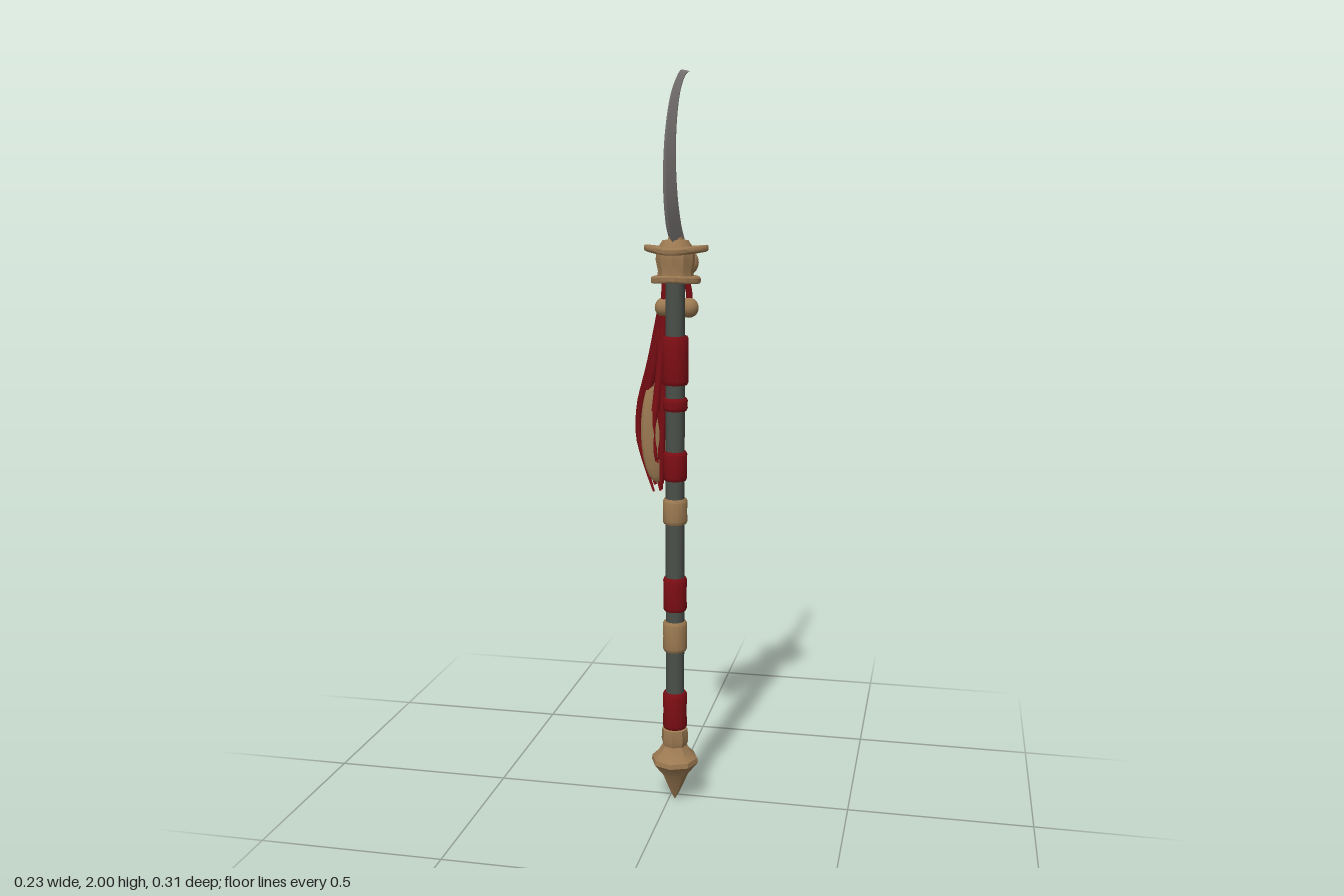
import * as THREE from 'three';
import { toCreasedNormals } from 'three/addons/utils/BufferGeometryUtils.js';

const mat = (name, color) => Object.assign(new THREE.MeshStandardMaterial({ color }), { name });
const V = (x, y, z) => new THREE.Vector3(x, y, z);
const PX = 0.017, PZ = 0.03; // axis of the pole

export function createModel() {
  const steel = mat('steel', 0x8b8585), red = mat('red cloth', 0x7c0e14);
  const bone = mat('bone', 0x9c7a52), wood = mat('dark pole', 0x4a4f49);
  const model = new THREE.Group();
  model.name = 'polearm';

  const add = (name, geo, material, x = 0, y = 0, z = 0) => {
    const m = new THREE.Mesh(geo, material);
    m.name = name;
    m.position.set(x, y, z);
    model.add(m);
    return m;
  };
  const lathe = (name, pts, sides, material) => add(name,
    toCreasedNormals(new THREE.LatheGeometry(pts.map(p => new THREE.Vector2(...p)), sides), 0.6),
    material, PX, 0, PZ);

  // Pole
  lathe('pole', [[0, 0.15], [0.026, 0.15], [0.026, 1.5], [0, 1.5]], 16, wood);

  // Cloth wraps and bone rings around the pole
  const band = (name, y0, y1, r, material) => lathe(name,
    [[0.024, y0], [r - 0.004, y0], [r, y0 + 0.008], [r - 0.001, (y0 + y1) / 2], [r, y1 - 0.008], [r - 0.004, y1], [0.024, y1]],
    16, material);
  for (const [y0, y1, r] of [[1.18, 1.31, 0.036], [1.11, 1.145, 0.034], [0.92, 1.0, 0.033], [0.555, 0.65, 0.033], [0.215, 0.32, 0.034]])
    band('clothWrap', y0, y1, r, red);
  for (const [y0, y1] of [[0.8, 0.87], [0.44, 0.525]]) band('boneRing', y0, y1, 0.034, bone);

  // Pointed pommel
  lathe('pommel', [[0, 0], [0.014, 0.025], [0.038, 0.08], [0.066, 0.115], [0.064, 0.128], [0.046, 0.145],
    [0.034, 0.165], [0.038, 0.18], [0.036, 0.212], [0.024, 0.214]], 8, bone);

  // Crescent blade that runs on into a rear spur, as [z, y] edge lines
  const curve = pts => new THREE.CatmullRomCurve3(pts.map(([z, y]) => V(0, y, z)));
  const outer = curve([[-0.12, 2.0], [-0.02, 1.99], [0.075, 1.93], [0.138, 1.835], [0.157, 1.745], [0.14, 1.65],
    [0.085, 1.57], [0.03, 1.535], [-0.03, 1.522], [-0.085, 1.528], [-0.144, 1.54]]);
  const inner = curve([[-0.12, 1.996], [-0.06, 1.975], [0.01, 1.925], [0.053, 1.85], [0.068, 1.765], [0.058, 1.685],
    [0.025, 1.615], [-0.01, 1.58], [-0.045, 1.56], [-0.09, 1.549], [-0.144, 1.544]]);
  const N = 44, pos = [], idx = [];
  for (let i = 0; i <= N; i++) {
    const t = i / N, o = outer.getPoint(t), n = inner.getPoint(t);
    const w = 0.007 + 0.013 * Math.min(1, t * 1.7) - 0.011 * Math.max(0, (t - 0.7) / 0.3);
    for (const [x, k] of [[0, 0], [w, 0.55], [w * 0.8, 0.8], [w * 0.4, 1], [-w * 0.4, 1], [-w * 0.8, 0.8], [-w, 0.55]]) {
      const p = o.clone().lerp(n, k);
      pos.push(x, p.y, p.z);
    }
    if (i < N) for (let j = 0; j < 7; j++) {
      const a = i * 7 + j, b = i * 7 + (j + 1) % 7;
      idx.push(a, a + 7, b, b, a + 7, b + 7);
    }
  }
  const bladeGeo = new THREE.BufferGeometry();
  bladeGeo.setAttribute('position', new THREE.Float32BufferAttribute(pos, 3));
  bladeGeo.setIndex(idx);
  add('blade', toCreasedNormals(bladeGeo, 0.35), steel, PX);

  // Guard: waisted socket, horned plate and ragged skirt
  lathe('guardSocket', [[0.026, 1.45], [0.05, 1.455], [0.046, 1.48], [0.052, 1.51], [0.05, 1.535], [0.034, 1.56], [0, 1.565]], 10, bone);
  const plate = (name, pts, y, depth, curl) => {
    const outline = new THREE.Shape();
    outline.setFromPoints(new THREE.CatmullRomCurve3(pts.map(([x, z]) => V(x, -z, 0)), true).getPoints(36).slice(0, -1)
      .map(p => new THREE.Vector2(p.x, p.y)));
    const g = new THREE.ExtrudeGeometry(outline, { depth, bevelEnabled: true, bevelSize: 0.006, bevelThickness: 0.005, bevelOffset: -0.006, bevelSegments: 2 });
    g.rotateX(-Math.PI / 2);
    const p = g.attributes.position;
    for (let i = 0; i < p.count; i++) p.setY(i, p.getY(i) + curl * p.getX(i) ** 2);
    add(name, toCreasedNormals(g, 0.8), bone, PX, y, PZ);
  };
  plate('guardPlate', [[0.088, 0], [0.05, 0.04], [0.02, 0.062], [-0.02, 0.062], [-0.05, 0.035], [-0.085, -0.005],
    [-0.055, -0.04], [-0.035, -0.075], [0.01, -0.07], [0.055, -0.088], [0.062, -0.045]], 1.528, 0.008, 1.2);
  plate('guardSkirt', [[0.066, 0], [0.045, 0.035], [0, 0.05], [-0.045, 0.035], [-0.066, 0], [-0.05, -0.045], [0, -0.058], [0.05, -0.045]],
    1.456, 0.009, -1);
  const sleeve = add('bladeSleeve', new THREE.ConeGeometry(0.036, 0.085, 10), bone, PX, 1.585, 0.025);
  sleeve.scale.x = 0.75;
  for (const s of [-1, 1]) {
    const knob = add('guardKnob', new THREE.SphereGeometry(0.024, 10, 8), bone, PX + s * 0.028, 1.5, -0.025);
    knob.scale.set(1, 1.3, 1);
  }

  // Tapering cord swept along points, r = [start, middle, end] radius
  const cord = (name, pts, r) => {
    const path = new THREE.CatmullRomCurve3(pts), S = 18, R = 6;
    const g = new THREE.TubeGeometry(path, S, 1, R);
    const p = g.attributes.position, v = new THREE.Vector3();
    for (let i = 0; i <= S; i++) {
      const t = i / S, c = path.getPointAt(t);
      const w = t < 0.5 ? r[0] + (r[1] - r[0]) * t * 2 : r[1] + (r[2] - r[1]) * (t * 2 - 1);
      for (let j = 0; j <= R; j++) {
        const k = i * (R + 1) + j;
        v.fromBufferAttribute(p, k).sub(c).multiplyScalar(w).add(c);
        p.setXYZ(k, v.x, v.y, v.z);
      }
    }
    add(name, g, red);
  };

  // Beads on cords below the guard
  for (const x of [-0.024, 0.042]) {
    cord('beadCord', [V(x * 0.7, 1.47, -0.025), V(x, 1.42, -0.03), V(x, 1.36, -0.028)], [0.01, 0.009, 0.009]);
    add('bead', new THREE.SphereGeometry(0.027, 14, 10), bone, x, 1.38, -0.026);
  }

  // Tassel fanning out behind the pole: out = distance away, s = place across the fan
  const at = (out, s, y) => V(-0.015 - 0.5 * out + 0.86 * s, y, -0.025 - 0.86 * out - 0.5 * s);
  const layer = (count, bulge, spread, r, low) => {
    for (let i = 0; i < count; i++) {
      const s = (i / (count - 1)) * 2 - 1, arc = bulge * (1 - 0.2 * s * s) - (i % 2) * 0.007;
      cord('tasselStrand', [at(0.01, s * 0.014, 1.37), at(bulge * 0.38, s * spread * 0.6, 1.23), at(arc * 0.9, s * spread * 0.95, 1.1),
        at(arc, s * spread, 1.02), at(arc * 0.85, s * spread * 0.8, 0.95), at(0.055, s * spread * 0.45, low + (i % 3) * 0.02)], [0.013, r, 0.003]);
    }
  };
  layer(8, 0.133, 0.05, 0.013, 0.865);
  layer(6, 0.1, 0.042, 0.012, 0.885);
  layer(5, 0.05, 0.026, 0.009, 1.0);
  lathe('tasselKnot', [[0, 1.32], [0.018, 1.325], [0.022, 1.345], [0.016, 1.37], [0, 1.375]], 10, red).position.set(-0.02, 0, -0.035);

  // Bone-coloured leaf lining the tassel on the pole side
  const leaf = add('tasselLeaf', new THREE.SphereGeometry(1, 14, 12), bone);
  leaf.position.copy(at(0.055, -0.012, 1.04));
  leaf.scale.set(0.048, 0.15, 0.022);
  leaf.rotation.y = Math.PI / 6;

  // Loose straps beside the pole
  cord('looseStrap', [V(-0.022, 1.45, -0.02), V(-0.025, 1.33, -0.02), V(-0.035, 1.2, -0.012), V(-0.045, 1.1, -0.004)], [0.009, 0.012, 0.011]);
  cord('looseStrap', [V(-0.02, 1.33, -0.02), V(-0.025, 1.15, -0.015), V(-0.03, 1.0, -0.022), V(-0.035, 0.88, -0.03)], [0.009, 0.01, 0.005]);

  return model;
}
